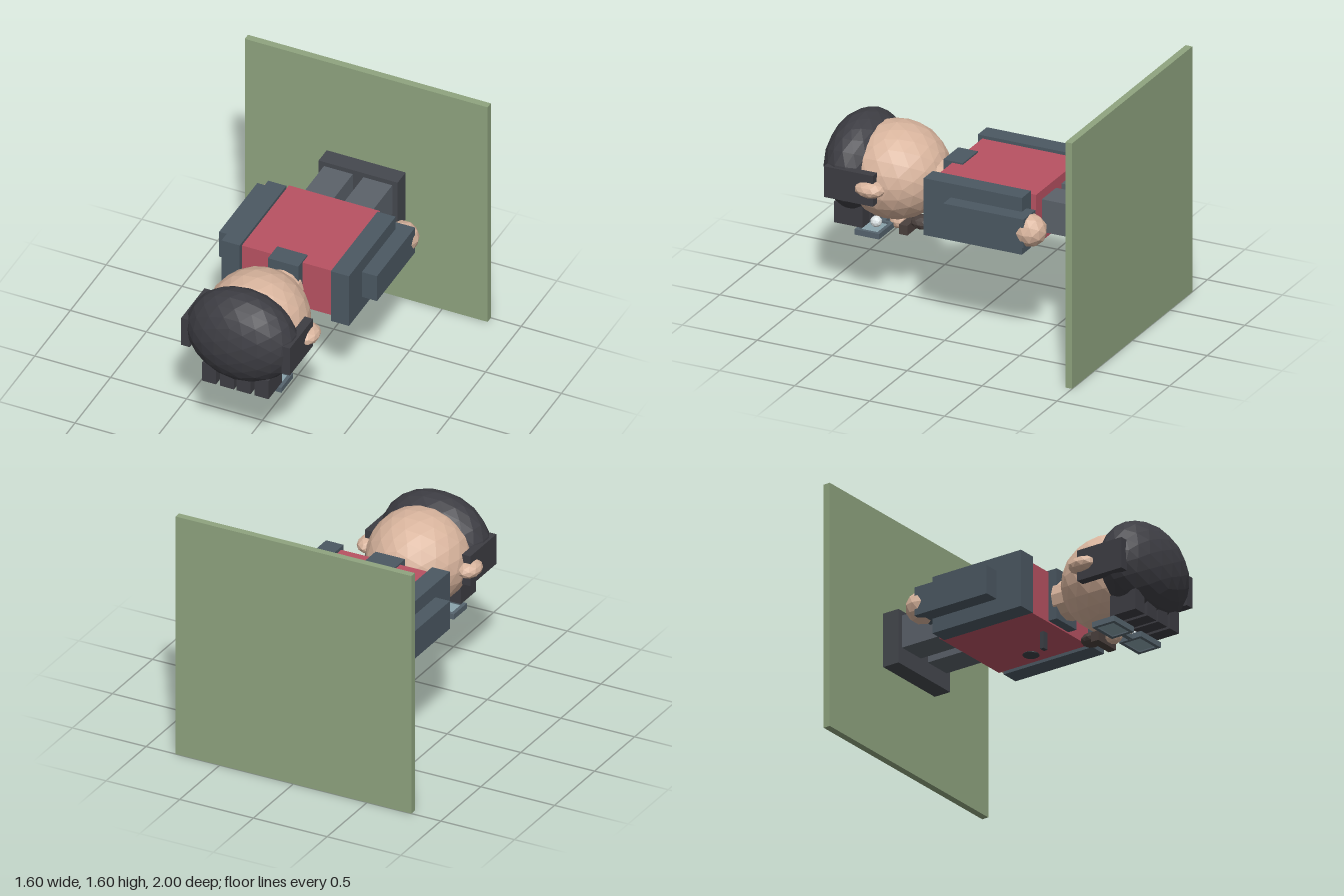
import * as THREE from 'three';

const COLORS = {
  board: 0x8fa47f, shoe: 0x45484e, trouser: 0x5b626a, jacket: 0x4b5862, shirt: 0xb85262,
  skin: 0xd8b49d, hair: 0x3d3d43, frame: 0x56646e, lens: 0x8aa3ab, eye: 0xdfe6e8,
  beard: 0x4a403d, pendant: 0x3c4046,
};
const materials = {};
for (const key in COLORS) {
  materials[key] = new THREE.MeshStandardMaterial({ color: COLORS[key], flatShading: true });
}

export function createModel() {
  const model = new THREE.Group();

  const add = (name, geometry, color, x, y, z) => {
    const mesh = new THREE.Mesh(geometry, materials[color]);
    mesh.name = name;
    mesh.position.set(x, y, z);
    model.add(mesh);
    return mesh;
  };
  // box given by its limits on each axis
  const box = (name, color, [x0, x1], [y0, y1], [z0, z1]) =>
    add(name, new THREE.BoxGeometry(x1 - x0, y1 - y0, z1 - z0), color,
      (x0 + x1) / 2, (y0 + y1) / 2, (z0 + z1) / 2);
  // faceted ellipsoid given by centre and radii
  const blob = (name, color, [x, y, z], [rx, ry, rz], detail = 1) =>
    add(name, new THREE.IcosahedronGeometry(1, detail).scale(rx, ry, rz), color, x, y, z);

  // Upright board under the soles
  box('baseBoard', 'board', [-0.8, 0.8], [0, 1.6], [-1, -0.955]);

  // Torso, collar and neck; the figure lies face down with its head toward +z
  box('shirt', 'shirt', [-0.3, 0.3], [0.64, 0.97], [-0.51, 0.15]);
  box('collar', 'jacket', [-0.1, 0.1], [0.65, 0.98], [0.08, 0.21]);
  add('neck', new THREE.CylinderGeometry(0.125, 0.125, 0.2, 12).rotateX(Math.PI / 2),
    'skin', 0, 0.8, 0.28 );
  model.getObjectByName('neck').position.z = 0.285;

  // Head and hair cap
  blob('head', 'skin', [0, 0.81, 0.57], [0.32, 0.302, 0.33], 3);
  blob('hairCap', 'hair', [0, 0.835, 0.78], [0.357, 0.307, 0.216], 3);

  // Face
  blob('nose', 'skin', [0, 0.478, 0.56], [0.05, 0.053, 0.055]);
  box('moustache', 'beard', [-0.09, 0.09], [0.43, 0.493], [0.455, 0.51]);
  blob('goatee', 'beard', [0, 0.495, 0.4], [0.06, 0.045, 0.075]);
  box('glassesBridge', 'frame', [-0.04, 0.04], [0.44, 0.465], [0.64, 0.67]);

  // Pendant on the chest
  box('pendantClip', 'pendant', [-0.02, 0.02], [0.53, 0.65], [0.028, 0.055]);
  blob('pendant', 'pendant', [0, 0.519, -0.053], [0.053, 0.013, 0.053]);

  // Glasses rim: rectangle with an opening
  const rim = new THREE.Shape([[-0.1, -0.082], [0.1, -0.082], [0.1, 0.082], [-0.1, 0.082]]
    .map(([a, b]) => new THREE.Vector2(a, b)));
  rim.holes.push(new THREE.Path([[-0.078, -0.06], [-0.078, 0.06], [0.078, 0.06], [0.078, -0.06]]
    .map(([a, b]) => new THREE.Vector2(a, b))));
  const rimGeometry = new THREE.ExtrudeGeometry(rim, { depth: 0.036, bevelEnabled: false })
    .rotateX(Math.PI / 2);

  // Mirrored parts
  for (const [side, s] of [['left', 1], ['right', -1]]) {
    const span = (a, b) => (s > 0 ? [a, b] : [-b, -a]);

    // Clothes and limbs
    box(side + 'JacketPanel', 'jacket', span(0.3, 0.42), [0.62, 0.99], [-0.475, 0.18]);
    box(side + 'Arm', 'jacket', span(0.36, 0.52), [0.715, 0.9], [-0.535, 0]);
    blob(side + 'Hand', 'skin', [s * 0.435, 0.8, -0.54], [0.102, 0.102, 0.102]);
    box(side + 'Leg', 'trouser', span(0.035, 0.225), [0.7, 0.912], [-0.86, -0.49]);
    box(side + 'Shoe', 'shoe', span(0, 0.26), [0.59, 0.942], [-0.955, -0.842]);

    // Head details
    blob(side + 'Ear', 'skin', [s * 0.34, 0.807, 0.58], [0.072, 0.052, 0.098]);
    box(side + 'Sideburn', 'hair', span(0.302, 0.358), [0.705, 0.905], [0.55, 0.877]);
    blob(side + 'Eye', 'eye', [s * 0.115, 0.495, 0.65], [0.036, 0.036, 0.036]);
    for (const x of [0.055, 0.173]) {
      box(side + 'FringeTuft', 'hair', span(x - 0.046, x + 0.046), [0.485, 0.62], [0.69, 0.88]);
    }

    // Glasses
    add(side + 'GlassesRim', rimGeometry, 'frame', s * 0.135, 0.475, 0.652);
    box(side + 'Lens', 'lens', span(0.055, 0.215), [0.447, 0.463], [0.59, 0.714]);
  }

  return model;
}
